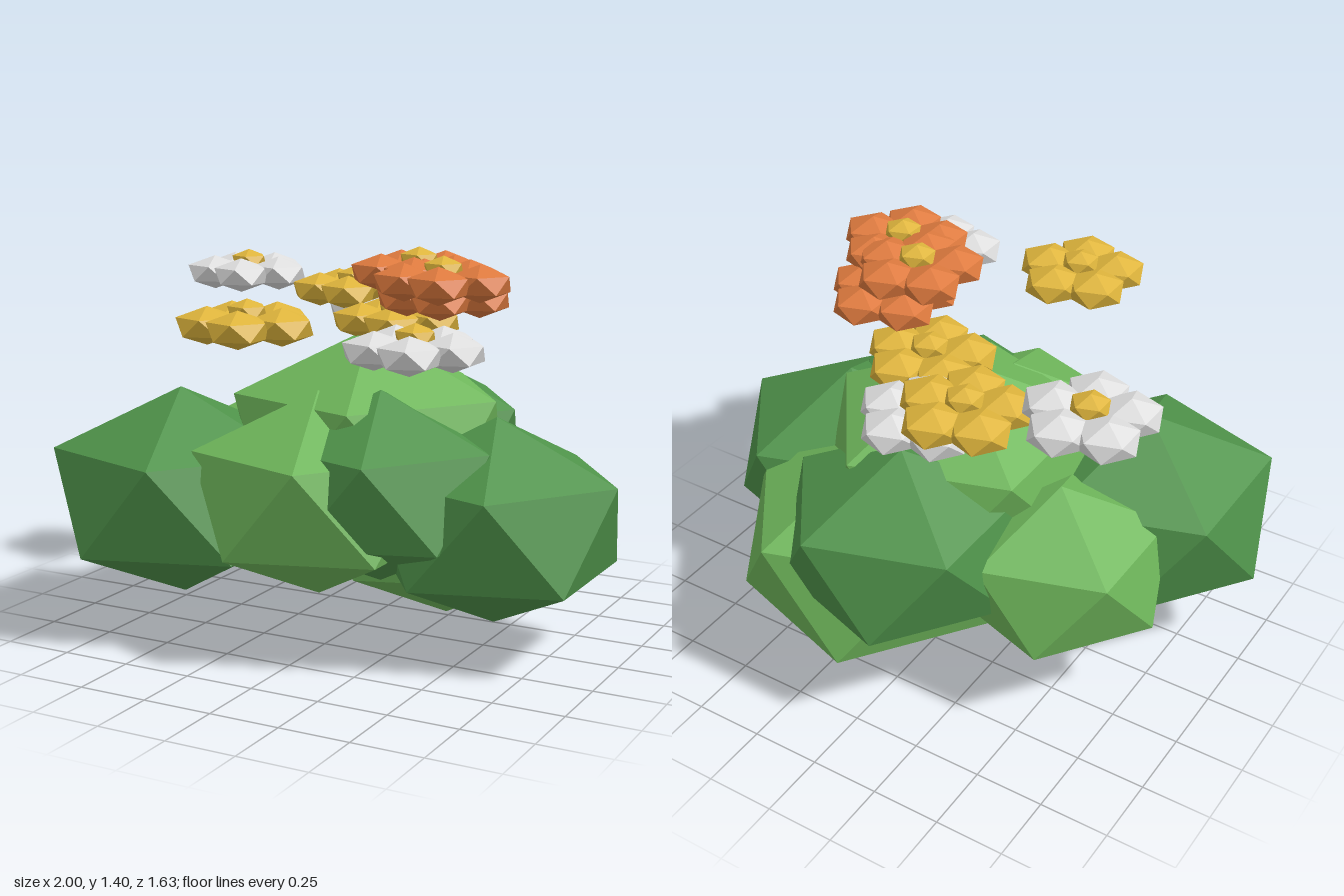
import * as THREE from 'three';

function material(name, color) {
  const m = new THREE.MeshStandardMaterial({ color });
  m.name = name;
  return m;
}

export function createModel() {
  const darkLeaf = material('dark leaf green', 0x4f934a);
  const lightLeaf = material('light leaf green', 0x6fb75b);
  const white = material('white petal', 0xdedede);
  const yellow = material('yellow petal', 0xdfb53c);
  const orange = material('orange petal', 0xde7a3e);

  // Icosahedron standing on one corner, upper belt corner towards +x
  const ico = new THREE.IcosahedronGeometry(1, 0);
  ico.rotateZ(-Math.atan(2 / (1 + Math.sqrt(5))));

  const model = new THREE.Group();
  model.name = 'floweringBush';

  function lump(parent, name, mat, x, y, z, radius, halfHeight) {
    const mesh = new THREE.Mesh(ico, mat);
    mesh.name = name;
    mesh.position.set(x, y, z);
    mesh.scale.set(radius, halfHeight, radius);
    parent.add(mesh);
  }

  // Leaf clumps: name, material, centre, radius, half height
  [
    ['mainClump', lightLeaf, 0.035, 0.69, -0.03, 0.544, 0.405],
    ['leftClump', darkLeaf, 0.56, 0.473, 0.05, 0.487, 0.363],
    ['rightClump', darkLeaf, -0.548, 0.511, 0.305, 0.506, 0.377],
    ['backClump', darkLeaf, 0.01, 0.61, -0.42, 0.47, 0.35],
    ['frontClump', lightLeaf, 0, 0.56, 0.29, 0.484, 0.36],
    ['frontLeftClump', darkLeaf, 0.22, 0.6, 0.25, 0.447, 0.333],
    ['backLeftClump', lightLeaf, 0.225, 0.405, -0.285, 0.544, 0.405],
    ['backRightClump', lightLeaf, -0.454, 0.51, -0.15, 0.42, 0.313],
  ].forEach((c) => lump(model, ...c));

  // Flower: five flattened petals around a raised yellow centre
  function flower(mat, x, y, z) {
    const group = new THREE.Group();
    group.name = 'flower';
    group.position.set(x, y, z);
    for (let i = 0; i < 5; i++) {
      const a = (i * 2 * Math.PI) / 5;
      lump(group, 'petal', mat, 0.13 * Math.cos(a), 0, 0.13 * Math.sin(a), 0.113, 0.063);
    }
    lump(group, 'flowerCentre', yellow, 0, 0.042, 0, 0.072, 0.043);
    model.add(group);
  }

  [
    [white, -0.61, 1.235, -0.27],
    [white, -0.07, 1.115, -0.4],
    [white, 0.485, 1.13, 0.535],
    [yellow, -0.215, 1.18, -0.38],
    [yellow, 0.11, 1.12, -0.095],
    [yellow, -0.09, 1.178, 0.595],
    [orange, 0.29, 1.32, 0.105],
    [orange, 0.445, 1.31, 0.245],
    [orange, 0.355, 1.23, 0.04],
  ].forEach((f) => flower(...f));

  return model;
}
